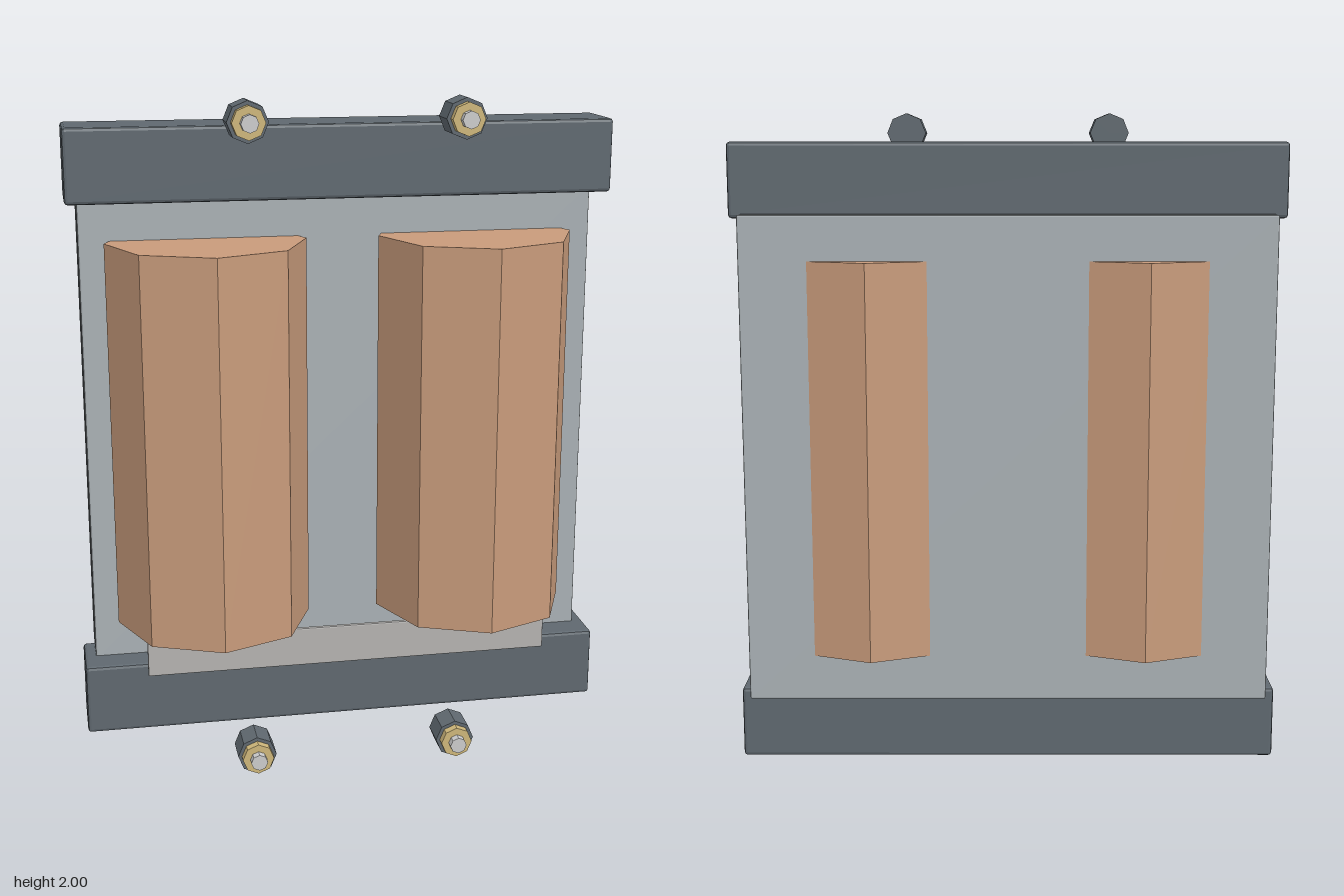
import * as THREE from 'three';
import { RoundedBoxGeometry } from 'three/addons/geometries/RoundedBoxGeometry.js';

const mat = (color) => new THREE.MeshStandardMaterial({ color, flatShading: true });

export function createModel() {
  const model = new THREE.Group();
  const steel = mat(0x5f686f), sheet = mat(0xa9b0b4), copper = mat(0xc89b7b);
  const brass = mat(0xcdb67a), metal = mat(0xc4c4c4), plate = mat(0xb4b2b0);

  const add = (name, geometry, material, x, y, z, parent = model) => {
    const mesh = new THREE.Mesh(geometry, material);
    mesh.name = name;
    mesh.position.set(x, y, z);
    parent.add(mesh);
    return mesh;
  };

  // Clamping bars above and below the core
  const bar = new RoundedBoxGeometry(1.6, 0.215, 0.2, 1, 0.01);
  add('lowerClamp', bar, steel, 0, 0.193, -0.053);
  add('upperClamp', bar, steel, 0, 1.81, -0.053);

  // Stack of thin core sheets, spaced apart
  const lamination = new RoundedBoxGeometry(1.53, 1.425, 0.015, 1, 0.005);
  for (let i = 0; i < 7; i++) {
    add('coreSheet' + (i + 1), lamination, sheet, 0, 1.003, -0.05 - i * 0.0275);
  }

  // Eight-sided windings
  const winding = new THREE.CylinderGeometry(0.293, 0.293, 1.16, 8);
  add('rightWinding', winding, copper, -0.4, 1.005, 0);
  add('leftWinding', winding, copper, 0.4, 1.005, 0);

  // Blank rating plate
  add('ratingPlate', new RoundedBoxGeometry(1.23, 0.12, 0.014, 1, 0.004), plate, 0, 0.35, 0.111);

  // Terminals: insulator, brass nut and stud, pointing forward
  const prism = (radius, length) => new THREE.CylinderGeometry(radius, radius, length, 8).rotateX(Math.PI / 2);
  const insulator = prism(0.058, 0.09), nut = prism(0.047, 0.028), stud = prism(0.025, 0.06);
  for (const x of [-0.305, 0.305]) {
    for (const y of [0.063, 1.943]) {
      const terminal = new THREE.Group();
      terminal.name = (y > 1 ? 'upper' : 'lower') + (x > 0 ? 'Left' : 'Right') + 'Terminal';
      terminal.position.set(x, y, 0);
      add('insulator', insulator, steel, 0, 0, 0.197, terminal);
      add('nut', nut, brass, 0, 0, 0.254, terminal);
      add('stud', stud, metal, 0, 0, 0.262, terminal);
      model.add(terminal);
    }
  }
  return model;
}
